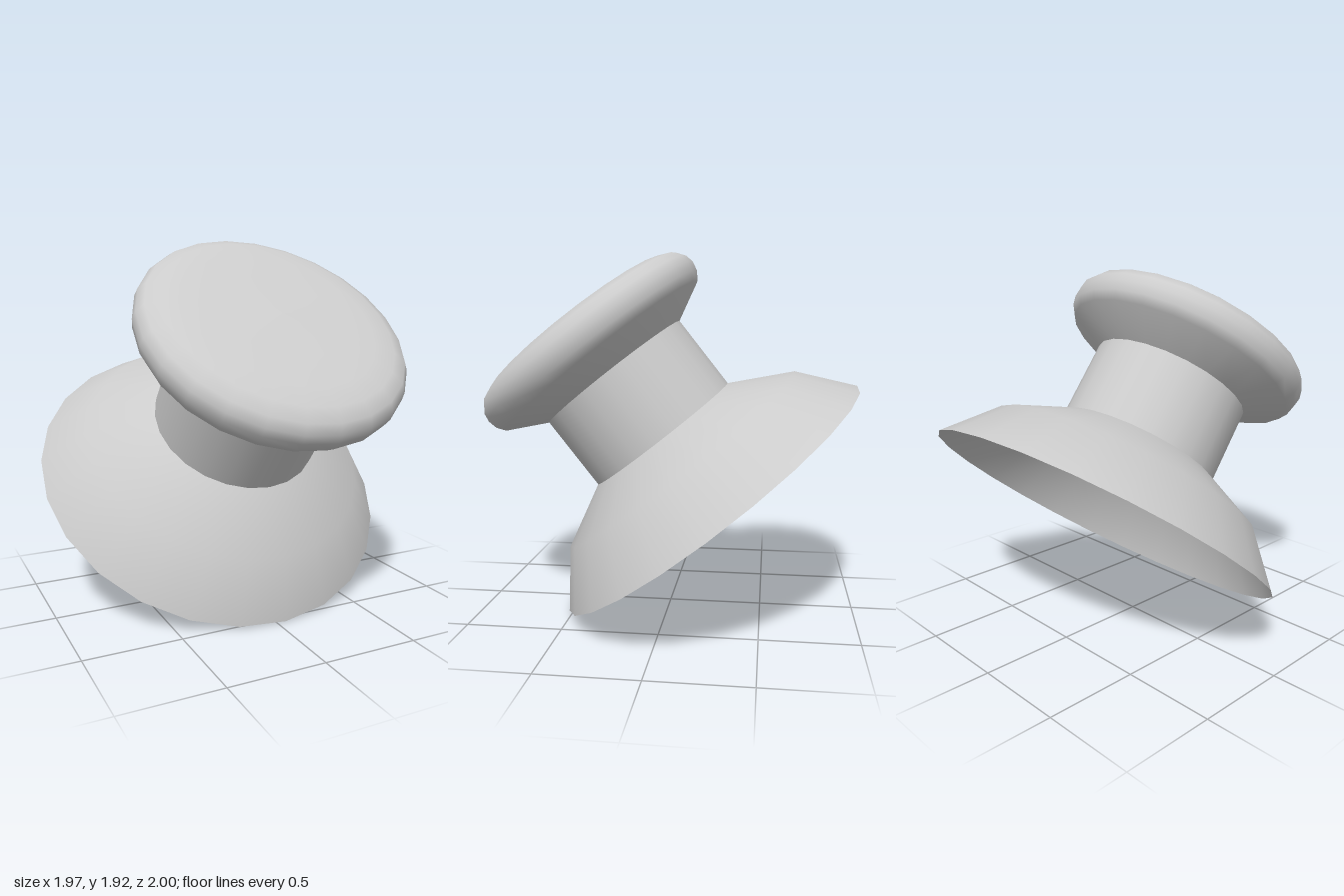
import * as THREE from 'three';

const material = new THREE.MeshStandardMaterial({ color: 0xcccccc, side: THREE.DoubleSide });
const SIDES = 24;
const PHASE = THREE.MathUtils.degToRad(3);

// Thin turned shell from [radius, height] pairs, listed bottom to top
function shell(name, profile) {
  const points = profile.map(([r, h]) => new THREE.Vector2(r, h));
  const mesh = new THREE.Mesh(new THREE.LatheGeometry(points, SIDES, PHASE), material);
  mesh.name = name;
  return mesh;
}

export function createModel() {
  const group = new THREE.Group();
  group.name = 'suctionCup';

  // Everything is turned around one axis, which is then leaned forward
  const body = new THREE.Group();
  body.name = 'tiltedBody';
  body.position.set(0, 0.61, -0.225);
  body.rotation.set(0.667, 0, -0.018);
  group.add(body);

  // Flared cup, open underneath
  body.add(shell('cup', [[0.985, 0], [0.77, 0.266], [0.449, 0.435]]));

  // Straight hollow neck
  body.add(shell('neck', [[0.449, 0.435], [0.449, 0.86]]));

  // Hollow knob with rounded edge and slightly domed top
  body.add(shell('knob', [
    [0.449, 0.86], [0.655, 0.966], [0.686, 1.01], [0.697, 1.06], [0.69, 1.106],
    [0.659, 1.15], [0.59, 1.183], [0.48, 1.197], [0.3, 1.206], [0, 1.213],
  ]));

  return group;
}
